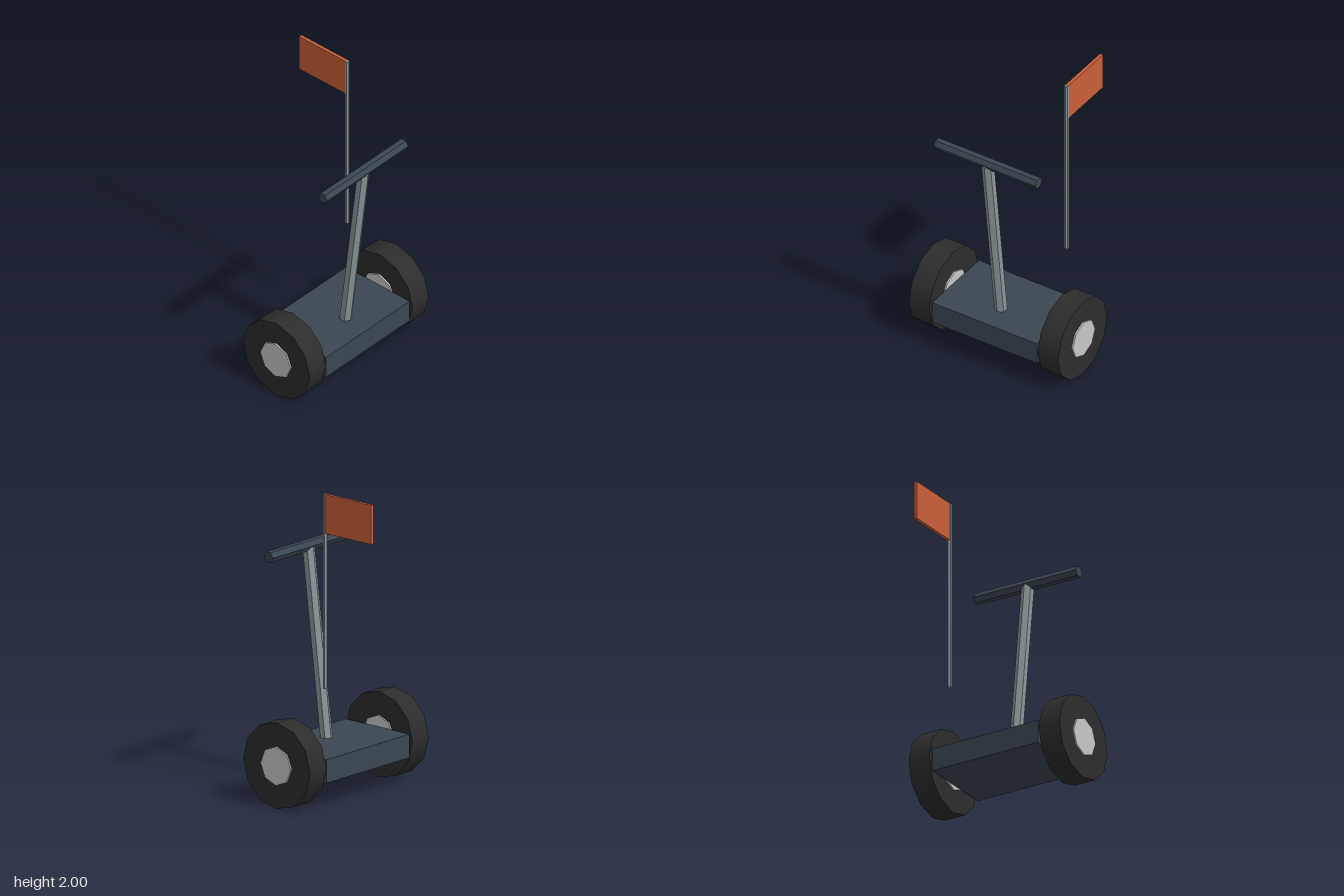
import * as THREE from 'three';

const mat = (name, color, flatShading = true) => {
  const m = new THREE.MeshStandardMaterial({ color, flatShading });
  m.name = name;
  return m;
};

export function createModel() {
  const slate = mat('slate', 0x3b4751);
  const rubber = mat('rubber', 0x2d2d2d, false);
  const hubGrey = mat('hub grey', 0xc9c9c9);
  const steel = mat('steel', 0x8c979b);
  const orange = mat('flag orange', 0xca603a);

  const model = new THREE.Group();
  model.name = 'scooter';

  const add = (name, geometry, material, x, y, z, parent = model) => {
    const mesh = new THREE.Mesh(geometry, material);
    mesh.name = name;
    mesh.position.set(x, y, z);
    parent.add(mesh);
    return mesh;
  };
  const rod = (radius, length, sides) => new THREE.CylinderGeometry(radius, radius, length, sides);
  const axle = (radius, length, sides) => rod(radius, length, sides).rotateZ(Math.PI / 2);

  // Standing platform
  add('deck', new THREE.BoxGeometry(0.774, 0.15, 0.525), slate, 0, 0.253, 0.148);

  // Wheels with hubs that stick out on both sides
  for (const side of [1, -1]) {
    const wheel = new THREE.Group();
    wheel.name = side > 0 ? 'leftWheel' : 'rightWheel';
    wheel.position.set(side * 0.475, 0.275, 0.148);
    add('tyre', axle(0.275, 0.15, 12), rubber, 0, 0, 0, wheel);
    add('hub', axle(0.125, 0.17, 8), hubGrey, 0, 0, 0, wheel);
    model.add(wheel);
  }

  // Leaning steering post and handlebar
  const lean = THREE.MathUtils.degToRad(7);
  const postLength = 1.24;
  const post = add('steeringPost', rod(0.04, postLength, 6), steel, 0,
    1.52 - Math.cos(lean) * postLength / 2, 0.374 - Math.sin(lean) * postLength / 2);
  post.rotation.x = lean;
  add('handlebar', axle(0.037, 0.75, 6), slate, 0, 1.53, 0.373);

  // Flag on its pole
  add('flagPole', rod(0.015, 1.245, 6), steel, 0.31, 1.377, -0.037);
  add('flag', new THREE.BoxGeometry(0.022, 0.25, 0.388), orange, 0.311, 1.875, -0.231);

  return model;
}
